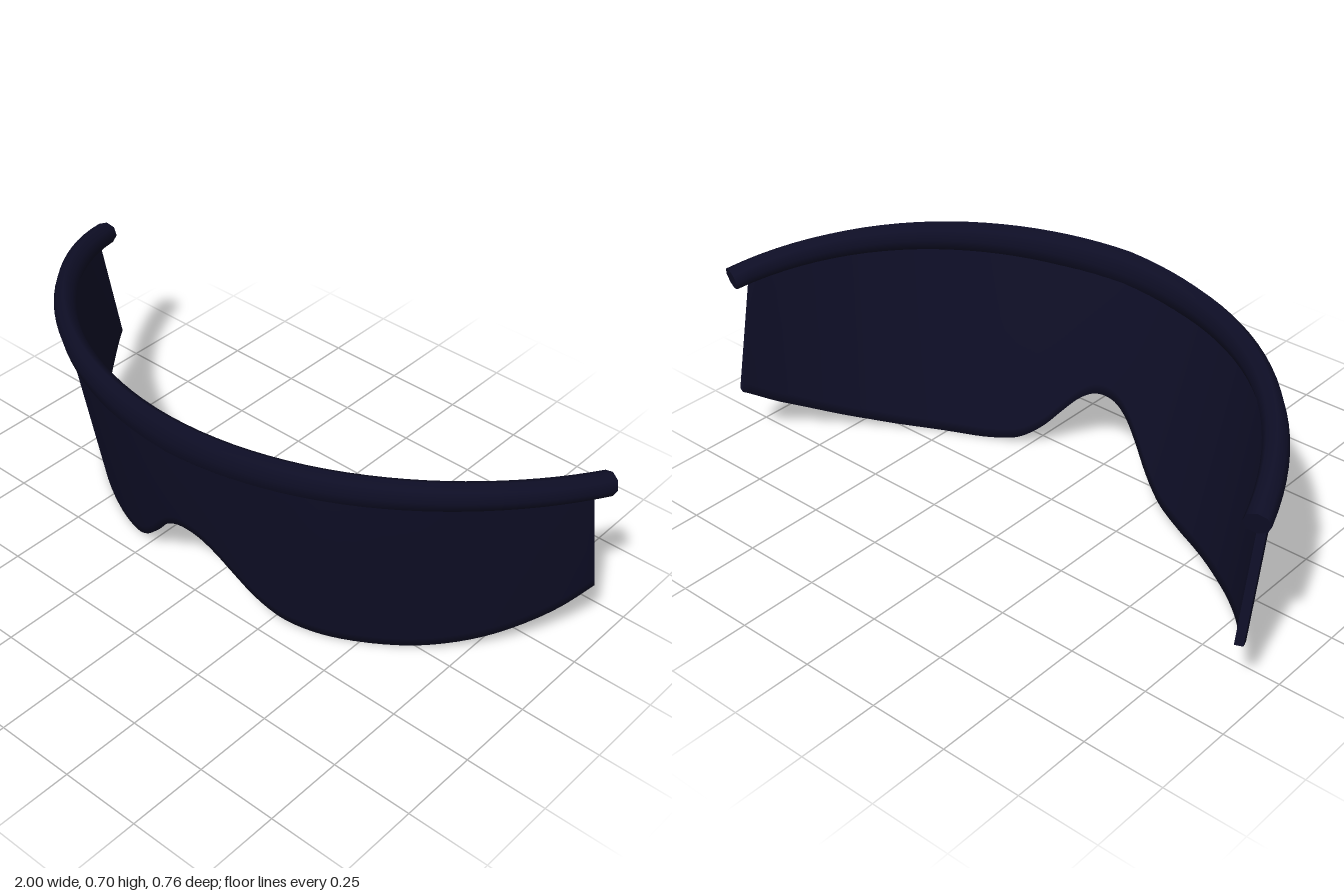
import * as THREE from 'three';

// Skin a row of equal-sized cross-section loops, with flat end caps
function loft(sections) {
  const n = sections[0].length, pos = [], idx = [];
  sections.forEach(s => s.forEach(p => pos.push(p.x, p.y, p.z)));
  for (let i = 0; i < sections.length - 1; i++) {
    for (let j = 0; j < n; j++) {
      const k = (j + 1) % n;
      const a = i * n + j, b = a + n, c = (i + 1) * n + k, d = i * n + k;
      idx.push(a, b, c, a, c, d);
    }
  }
  [sections[0], sections[sections.length - 1]].forEach((s, end) => {
    const base = pos.length / 3;
    s.forEach(p => pos.push(p.x, p.y, p.z));
    for (let j = 1; j < n - 1; j++) {
      if (end) idx.push(base, base + j + 1, base + j);
      else idx.push(base, base + j, base + j + 1);
    }
  });
  const g = new THREE.BufferGeometry();
  g.setAttribute('position', new THREE.Float32BufferAttribute(pos, 3));
  g.setIndex(idx);
  g.computeVertexNormals();
  return g;
}

const MAX_ANGLE = 1.25;

// Centre line of the brow bar: an arc that droops towards its ends
function barCentre(t) {
  const r = 1.034 - 0.018 * Math.abs(t) / MAX_ANGLE;
  const z = -0.679 + r * Math.cos(t);
  const d = 0.355 - z;
  return new THREE.Vector3(r * Math.sin(t), 0.64 - 0.15 * d * d, z);
}

// Tall oval at the middle, tapering to a small round end
function barGeometry() {
  const sections = [], steps = 48, sides = 8;
  for (let i = 0; i <= steps; i++) {
    const t = MAX_ANGLE * (2 * i / steps - 1), u = Math.abs(t) / MAX_ANGLE;
    const c = barCentre(t);
    const tangent = barCentre(t + 0.01).sub(barCentre(t - 0.01)).normalize();
    const out = new THREE.Vector3(Math.sin(t), 0, Math.cos(t));
    const up = new THREE.Vector3().crossVectors(out, tangent).normalize();
    const high = 0.06 - 0.025 * u;
    const front = 0.022 + 0.016 * u, back = 0.038;
    const loop = [];
    for (let j = 0; j < sides; j++) {
      const a = j / sides * Math.PI * 2, ca = Math.cos(a);
      loop.push(c.clone()
        .addScaledVector(out, ca * (ca > 0 ? front : back))
        .addScaledVector(up, Math.sin(a) * high));
    }
    sections.push(loop);
  }
  return loft(sections);
}

// Curved shield leaning back towards its lower edge, with a nose arch
function lensGeometry() {
  const half = [[0.05, 0.24], [0.1, 0.205], [0.15, 0.15], [0.2, 0.092], [0.25, 0.048], [0.3, 0.02],
    [0.37, 0.005], [0.45, 0.001], [0.6, 0.01], [0.7, 0.028], [0.8, 0.062], [0.9, 0.122], [0.96, 0.185]];
  const left = half.map(([x, y]) => new THREE.Vector2(x, y));
  const right = half.map(([x, y]) => new THREE.Vector2(-x, y)).reverse();
  const edge = new THREE.SplineCurve([...right, new THREE.Vector2(0, 0.25), ...left]);
  const R = 1.043, thick = 0.025;
  const sections = edge.getPoints(104).map(({ x, y }) => {
    const t = Math.asin(x / R), top = barCentre(t).y;
    const at = (r, h) => new THREE.Vector3(
      r * Math.sin(t), h, -0.698 + r * Math.cos(t) - 0.21 * (0.58 - h));
    const inner = R - thick;
    return [at(R, y), at(R, y + 0.03), at(R, top),
      at(inner, top), at(inner, y + 0.03), at(inner, y)];
  });
  return loft(sections);
}

export function createModel() {
  const navy = new THREE.MeshStandardMaterial({ color: 0x0e0e26 });
  navy.name = 'dark navy';
  const model = new THREE.Group();
  model.name = 'visor';
  const parts = { browBar: barGeometry(), lens: lensGeometry() };
  for (const [name, geometry] of Object.entries(parts)) {
    const mesh = new THREE.Mesh(geometry, navy);
    mesh.name = name;
    model.add(mesh);
  }
  return model;
}
